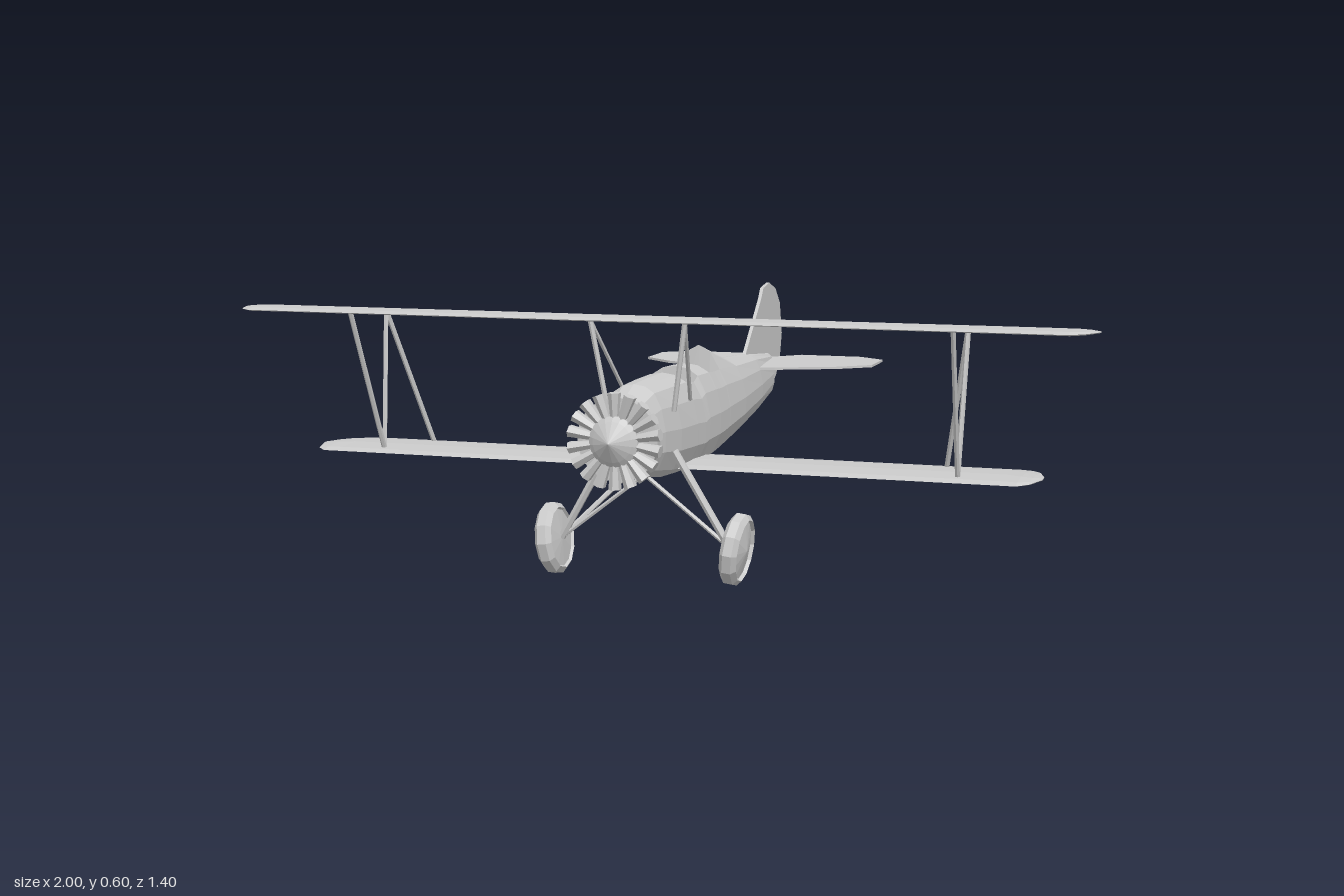
import * as THREE from 'three';

const material = new THREE.MeshStandardMaterial({ color: 0xcccccc, flatShading: true });

function add(parent, name, geometry) {
  const mesh = new THREE.Mesh(geometry, material);
  mesh.name = name;
  parent.add(mesh);
  return mesh;
}

// Closed skin through equal-length rings, with a fan cap at each end
function loft(rings) {
  const n = rings[0].length, last = rings.length - 1;
  const pos = rings.flat(2), index = [];
  const centre = ring => [0, 1, 2].map(k => ring.reduce((s, p) => s + p[k], 0) / n);
  pos.push(...centre(rings[0]), ...centre(rings[last]));
  const c0 = rings.length * n, c1 = c0 + 1;
  for (let j = 0; j < n; j++) {
    const k = (j + 1) % n;
    for (let i = 0; i < last; i++) {
      const a = i * n + j, b = i * n + k;
      index.push(a, a + n, b, b, a + n, b + n);
    }
    index.push(c0, j, k, c1, last * n + k, last * n + j);
  }
  const g = new THREE.BufferGeometry();
  g.setAttribute('position', new THREE.Float32BufferAttribute(pos, 3));
  g.setIndex(index);
  g.computeVertexNormals();
  return g;
}

function strut(parent, name, from, to, radius = 0.006) {
  const a = new THREE.Vector3(...from), b = new THREE.Vector3(...to);
  const mesh = add(parent, name, new THREE.CylinderGeometry(radius, radius, a.distanceTo(b), 6));
  mesh.position.copy(a).add(b).multiplyScalar(0.5);
  mesh.quaternion.setFromUnitVectors(new THREE.Vector3(0, 1, 0), b.sub(a).normalize());
}

// Half cross-section from top to bottom: fraction of half width, fraction of height
const SECTION = [[0, 1], [0.35, 0.98], [0.64, 0.91], [0.87, 0.74], [1, 0.5],
  [0.98, 0.28], [0.75, 0.08], [0.4, 0], [0, 0]];

// Stations: z, half width, bottom, top, lift of the crown (negative = cockpit, positive = headrest)
const BODY = [
  [0.59, 0.062, 0.258, 0.43, 0], [0.53, 0.074, 0.247, 0.453, 0], [0.44, 0.082, 0.233, 0.455, 0],
  [0.33, 0.086, 0.226, 0.455, 0], [0.325, 0.086, 0.226, 0.455, -0.07], [0.27, 0.087, 0.224, 0.448, -0.07],
  [0.245, 0.087, 0.224, 0.458, -0.07], [0.24, 0.087, 0.224, 0.46, 0], [0.155, 0.086, 0.226, 0.457, 0],
  [0.15, 0.086, 0.226, 0.457, -0.07], [0.10, 0.084, 0.23, 0.452, -0.07], [0.062, 0.082, 0.233, 0.452, -0.06],
  [0.055, 0.082, 0.234, 0.452, 0.038], [-0.11, 0.073, 0.25, 0.438, 0],
  [-0.33, 0.054, 0.272, 0.425, 0], [-0.55, 0.025, 0.295, 0.405, 0]];

function fuselageRing([z, w, low, top, lift]) {
  const point = (side, [x, y], i) => {
    const raise = i === 0 ? lift : i === 1 ? lift * (lift < 0 ? 1 : 0.7) : 0;
    return [side * x * w, low + y * (top - low) + raise, z];
  };
  const left = SECTION.map((p, i) => point(-1, p, i));
  const right = SECTION.map((p, i) => point(1, p, i)).slice(1, -1).reverse();
  return [...left, ...right];
}

// Wing from half-span stations [x, trailing z, leading z]; drop bends the chord line
function wing(stations, lead, chord, y, drop) {
  const camber = z => {
    const f = (lead - z) / chord;
    return y - drop * f + 0.035 * f * (1 - f);
  };
  const ring = ([x, te, le]) => {
    const thick = 0.011 * Math.min(1, (le - te) / chord + 0.2);
    const at = (f, t) => {
      const z = le + (te - le) * f;
      return [x, camber(z) + t * thick, z];
    };
    return [at(1, 0.1), at(0.6, 0.45), at(0.3, 0.6), at(0.08, 0.4), at(0, 0),
      at(0.08, -0.4), at(0.3, -0.5), at(0.6, -0.4), at(1, -0.1)];
  };
  const right = stations.map(([x, te, le]) => [-x, te, le]);
  return loft([...stations.slice().reverse(), ...right].map(ring));
}

function plate(points, thickness) {
  const shape = new THREE.Shape(points.map(p => new THREE.Vector2(...p)));
  return new THREE.ExtrudeGeometry(shape, { depth: thickness, bevelEnabled: false })
    .translate(0, 0, -thickness / 2);
}

const lathe = (points, sides) =>
  new THREE.LatheGeometry(points.map(p => new THREE.Vector2(...p)), sides);

export function createModel() {
  const model = new THREE.Group();
  model.name = 'biplane';

  add(model, 'fuselage', loft(BODY.map(fuselageRing)));

  // Radial engine: crankcase, ring of cylinders and nose cone along +z
  const engine = new THREE.Group();
  engine.name = 'engine';
  engine.position.y = 0.345;
  model.add(engine);
  add(engine, 'engineCowl', lathe([[0, 0.58], [0.078, 0.585], [0.088, 0.605], [0.093, 0.64], [0, 0.64]], 18)
    .rotateX(Math.PI / 2));
  add(engine, 'noseCone', lathe([[0.056, 0.635], [0.056, 0.665], [0.045, 0.673], [0, 0.7]], 18)
    .rotateX(Math.PI / 2));
  for (let i = 0; i < 18; i++) {
    const cylinder = add(engine, 'engineCylinder',
      new THREE.CylinderGeometry(0.014, 0.008, 0.065, 6).scale(1, 1, 1.3).translate(0, 0.0725, 0.656));
    cylinder.rotation.z = i * Math.PI / 9;
  }

  // Wings; the upper one has a centre cutout in its trailing edge
  add(model, 'upperWing', wing([[0.14, 0.275, 0.535], [0.19, 0.215, 0.535], [0.895, 0.215, 0.535],
    [0.945, 0.28, 0.535], [0.975, 0.325, 0.51], [0.999, 0.41, 0.45]], 0.535, 0.32, 0.591, 0.031));
  add(model, 'lowerWing', wing([[0.1, 0.095, 0.41], [0.79, 0.095, 0.41], [0.825, 0.15, 0.41],
    [0.85, 0.205, 0.385], [0.87, 0.29, 0.325]], 0.41, 0.315, 0.248, 0.018));

  // Tail
  const halfTail = [[0.04, -0.335], [0.08, -0.345], [0.23, -0.41], [0.31, -0.475],
    [0.31, -0.6], [0.24, -0.648], [0.075, -0.648]];
  const mirrored = halfTail.map(([x, z]) => [-x, z]).reverse();
  add(model, 'tailplane', plate([...halfTail, [0, -0.57], ...mirrored], 0.006)
    .rotateX(Math.PI / 2).translate(0, 0.388, 0));
  add(model, 'tailFin', plate([[-0.335, 0.42], [-0.435, 0.51], [-0.485, 0.555], [-0.507, 0.583],
    [-0.567, 0.593], [-0.63, 0.572], [-0.675, 0.53], [-0.697, 0.445], [-0.68, 0.385], [-0.64, 0.335],
    [-0.605, 0.315], [-0.54, 0.303], [-0.5, 0.38]], 0.009).rotateY(-Math.PI / 2));

  for (const s of [1, -1]) {
    // Struts between the wings
    const front = [s * 0.7, 0.589, 0.5], rear = [s * 0.7, 0.578, 0.315], foot = [s * 0.69, 0.25, 0.36];
    strut(model, 'interplaneStrut', front, foot);
    strut(model, 'interplaneStrut', rear, foot);
    strut(model, 'interplaneStrut', rear, [s * 0.635, 0.24, 0.195]);

    // Struts from fuselage to upper wing
    const top = [s * 0.11, 0.589, 0.505];
    strut(model, 'cabaneStrut', top, [s * 0.078, 0.39, 0.485]);
    strut(model, 'cabaneStrut', top, [s * 0.076, 0.4, 0.36], 0.005);

    // Landing gear
    const hub = [s * 0.2, 0.085, 0.462];
    strut(model, 'landingLeg', hub, [s * 0.075, 0.3, 0.475], 0.009);
    strut(model, 'rearLandingLeg', hub, [s * 0.06, 0.235, 0.355]);
    strut(model, 'axle', hub, [0, 0.24, 0.46], 0.005);
    const wheel = add(model, 'wheel', lathe([[0, -0.02], [0.066, -0.014], [0.07, -0.02], [0.082, -0.01],
      [0.082, 0.01], [0.07, 0.02], [0.066, 0.012], [0, 0.024]], 12));
    wheel.position.set(s * 0.217, 0.083, 0.462);
    wheel.rotation.z = -s * (Math.PI / 2 + 0.13);
  }
  return model;
}
